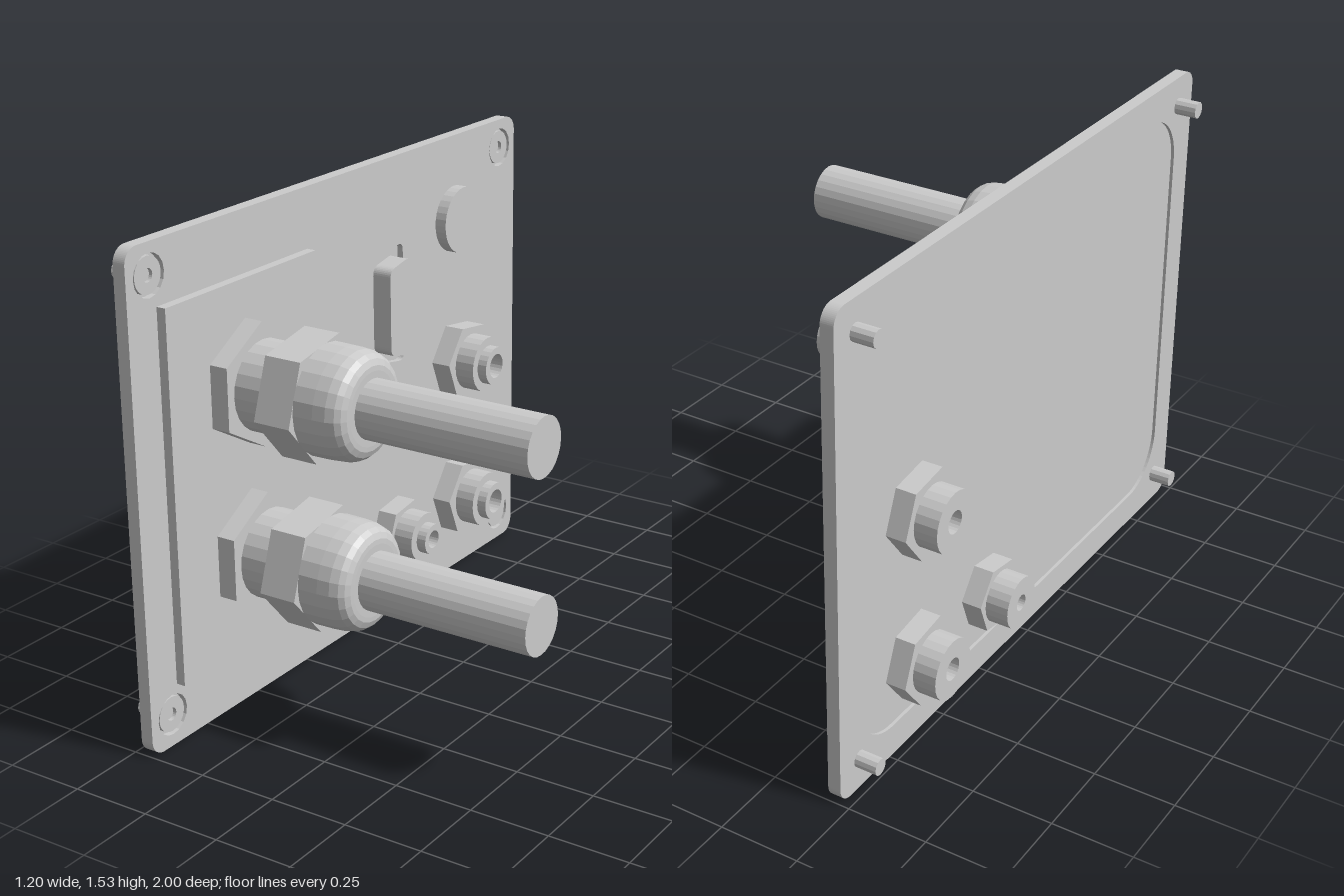
import * as THREE from 'three';

const material = new THREE.MeshStandardMaterial({ color: 0xcccccc, flatShading: true });

function addMesh(parent, name, geometry, y = 0, z = 0) {
  const mesh = new THREE.Mesh(geometry, material);
  mesh.name = name;
  mesh.position.set(0, y, z);
  parent.add(mesh);
  return mesh;
}

// Extrudes a shape drawn in (-z, y) along x from x0 to x1
function slab(shape, x0, x1) {
  const g = new THREE.ExtrudeGeometry(shape, { depth: x1 - x0, bevelEnabled: false, curveSegments: 8 });
  return g.translate(0, 0, x0).rotateY(Math.PI / 2);
}

// Turned part about the x axis; profile points are [radius, x]
function turned(profile, segments = 24) {
  const pts = profile.map(([r, x]) => new THREE.Vector2(r, x));
  return new THREE.LatheGeometry(pts, segments).rotateZ(-Math.PI / 2);
}

function roundedRect(u0, u1, v0, v1, r, target = new THREE.Shape()) {
  target.moveTo(u0 + r, v0);
  target.lineTo(u1 - r, v0).absarc(u1 - r, v0 + r, r, -Math.PI / 2, 0);
  target.lineTo(u1, v1 - r).absarc(u1 - r, v1 - r, r, 0, Math.PI / 2);
  target.lineTo(u0 + r, v1).absarc(u0 + r, v1 - r, r, Math.PI / 2, Math.PI);
  target.lineTo(u0, v0 + r).absarc(u0 + r, v0 + r, r, Math.PI, Math.PI * 1.5);
  return target;
}

// Hexagon with one corner at the given tilt (degrees), optional centre bore
function hexShape(radius, tilt, bore = 0) {
  const pts = [];
  for (let i = 0; i < 6; i++) {
    const a = THREE.MathUtils.degToRad(tilt + i * 60);
    pts.push(new THREE.Vector2(radius * Math.cos(a), radius * Math.sin(a)));
  }
  const shape = new THREE.Shape(pts);
  if (bore) shape.holes.push(new THREE.Path().absarc(0, 0, bore, 0, Math.PI * 2, true));
  return shape;
}

// D-shaped socket outline: shorter on the inner edge, corners rounded
function dShape(u0, u1, halfShort, halfLong, r) {
  const c = [[u0, -halfShort], [u1, -halfLong], [u1, halfLong], [u0, halfShort]]
    .map(([u, v]) => new THREE.Vector2(u, v + 1.044));
  const shape = new THREE.Shape();
  c.forEach((p, i) => {
    const before = c[(i + 3) % 4], after = c[(i + 1) % 4];
    const a = p.clone().add(before.clone().sub(p).setLength(r));
    const b = p.clone().add(after.clone().sub(p).setLength(r));
    if (i) shape.lineTo(a.x, a.y); else shape.moveTo(a.x, a.y);
    shape.quadraticCurveTo(p.x, p.y, b.x, b.y);
  });
  shape.closePath();
  return shape;
}

const screwSpots = [[0.1, -0.905], [0.1, 0.905], [1.435, -0.905], [1.435, 0.905]];

function buildPlate() {
  const plate = new THREE.Group();
  plate.name = 'mountingPlate';
  const outline = () => roundedRect(-1, 1, 0, 1.53, 0.05);

  // Outer face with screw pockets and socket cutout
  const face = outline();
  for (const [y, z] of screwSpots) {
    face.holes.push(new THREE.Path().absarc(-z, y, 0.064, 0, Math.PI * 2, true));
  }
  face.holes.push(dShape(0.147, 0.318, 0.168, 0.2, 0.03));
  addMesh(plate, 'plateFace', slab(face, -0.452, -0.432));
  addMesh(plate, 'plateCore', slab(outline(), -0.463, -0.452));

  // Rim around the shallow recess at the back
  const rim = outline();
  rim.holes.push(roundedRect(-0.9, 0.9, 0.1, 1.43, 0.17, new THREE.Path()));
  addMesh(plate, 'plateBackRim', slab(rim, -0.473, -0.463));
  return plate;
}

function buildScrew(y, z) {
  const screw = new THREE.Group();
  screw.name = 'cornerScrew';
  addMesh(screw, 'screwHead', turned([
    [0.055, -0.452], [0.055, -0.436], [0.02, -0.436], [0.02, -0.448], [0, -0.448],
  ]), y, z);
  addMesh(screw, 'screwShank', turned([[0, -0.543], [0.026, -0.543], [0.026, -0.46]], 12), y, z);
  return screw;
}

function buildCableGland(y, z) {
  const gland = new THREE.Group();
  gland.name = 'cableGland';
  addMesh(gland, 'glandBaseNut', slab(hexShape(0.192, 30), -0.405, -0.342), y, z);
  addMesh(gland, 'glandBody', turned([[0.138, -0.342], [0.138, -0.236]]), y, z);
  addMesh(gland, 'glandClampNut', slab(hexShape(0.19, 11), -0.236, -0.115), y, z);
  addMesh(gland, 'glandDome', turned([
    [0.167, -0.115], [0.166, -0.05], [0.163, -0.01], [0.155, 0.016],
    [0.143, 0.031], [0.125, 0.039], [0.11, 0.04], [0.085, 0.04],
  ]), y, z);
  addMesh(gland, 'cable', turned([[0.089, 0.03], [0.089, 0.595], [0, 0.595]]), y, z);
  return gland;
}

function buildConnector(y, z, hexRadius, tilt, barrel, tip, bore) {
  const connector = new THREE.Group();
  connector.name = 'roundConnector';
  addMesh(connector, 'frontNut', slab(hexShape(hexRadius, tilt), -0.434, -0.365), y, z);
  addMesh(connector, 'frontBarrel', turned([
    [barrel, -0.365], [barrel, -0.297], [tip, -0.297], [tip, -0.264],
    [bore, -0.264], [bore, -0.33], [0, -0.33],
  ]), y, z);
  addMesh(connector, 'backNut', slab(hexShape(hexRadius, tilt), -0.527, -0.462), y, z);
  addMesh(connector, 'backBarrel', turned([
    [0, -0.54], [bore * 0.85, -0.54], [bore * 0.85, -0.6], [barrel, -0.6], [barrel, -0.527],
  ]), y, z);
  return connector;
}

export function createModel() {
  const model = new THREE.Group();
  model.name = 'connectorPanel';
  model.add(buildPlate());
  for (const [y, z] of screwSpots) model.add(buildScrew(y, z));

  // Raised pad carrying the two cable glands
  const pad = new THREE.BoxGeometry(0.032, 1.15, 0.69).translate(-0.418, 0, 0);
  addMesh(model, 'glandPad', pad, 0.765, 0.535);
  for (const y of [1.03, 0.503]) model.add(buildCableGland(y, 0.535));

  // Round cap and D-shaped socket
  addMesh(model, 'roundCap', turned([[0.11, -0.434], [0.11, -0.393], [0, -0.393]], 32), 1.252, -0.62);
  addMesh(model, 'dSocket', slab(dShape(0.18, 0.292, 0.142, 0.164, 0.028), -0.453, -0.386));

  // Round connectors: two large, one small
  model.add(buildConnector(0.767, -0.62, 0.135, -8, 0.094, 0.065, 0.041));
  model.add(buildConnector(0.278, -0.62, 0.135, -8, 0.094, 0.065, 0.041));
  model.add(buildConnector(0.278, -0.233, 0.112, 8, 0.082, 0.051, 0.03));
  return model;
}
